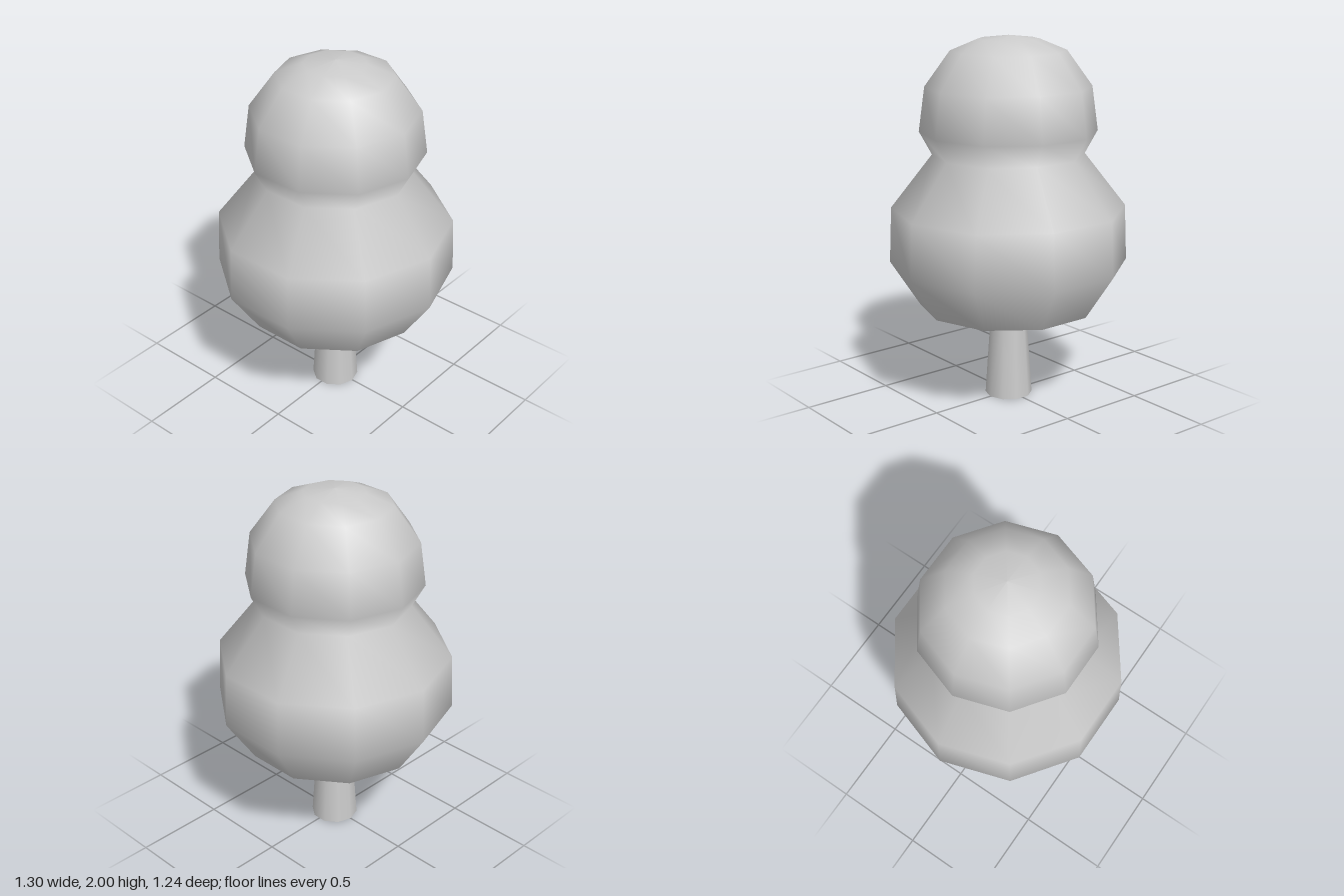
import * as THREE from 'three';

const SIDES = 10;

export function createModel() {
  const group = new THREE.Group();
  const solid = new THREE.MeshStandardMaterial({ color: 0xcccccc });
  const open = new THREE.MeshStandardMaterial({ color: 0xcccccc, side: THREE.DoubleSide });

  const add = (name, geometry, material, y = 0) => {
    const mesh = new THREE.Mesh(geometry, material);
    mesh.name = name;
    mesh.position.y = y;
    group.add(mesh);
  };

  // Foliage: two smooth, ten-sided lobes joined at a narrow neck
  const profile = [
    [0.49, 0.525], [0.65, 0.77], [0.637, 1.075], [0.412, 1.365],
    [0.48, 1.49], [0.447, 1.73], [0.31, 1.92], [0.165, 1.98], [0, 2],
  ].map(([r, y]) => new THREE.Vector2(r, y));
  add('foliage', new THREE.LatheGeometry(profile, SIDES, Math.PI / 2), solid);

  // Flat underside of the foliage
  add('foliageUnderside', new THREE.CircleGeometry(0.49, SIDES).rotateX(Math.PI / 2), solid, 0.525);

  // Tapered trunk, open at the ends
  add('trunk', new THREE.CylinderGeometry(0.095, 0.13, 0.525, SIDES, 1, true, Math.PI / 2), open, 0.2625);

  return group;
}
